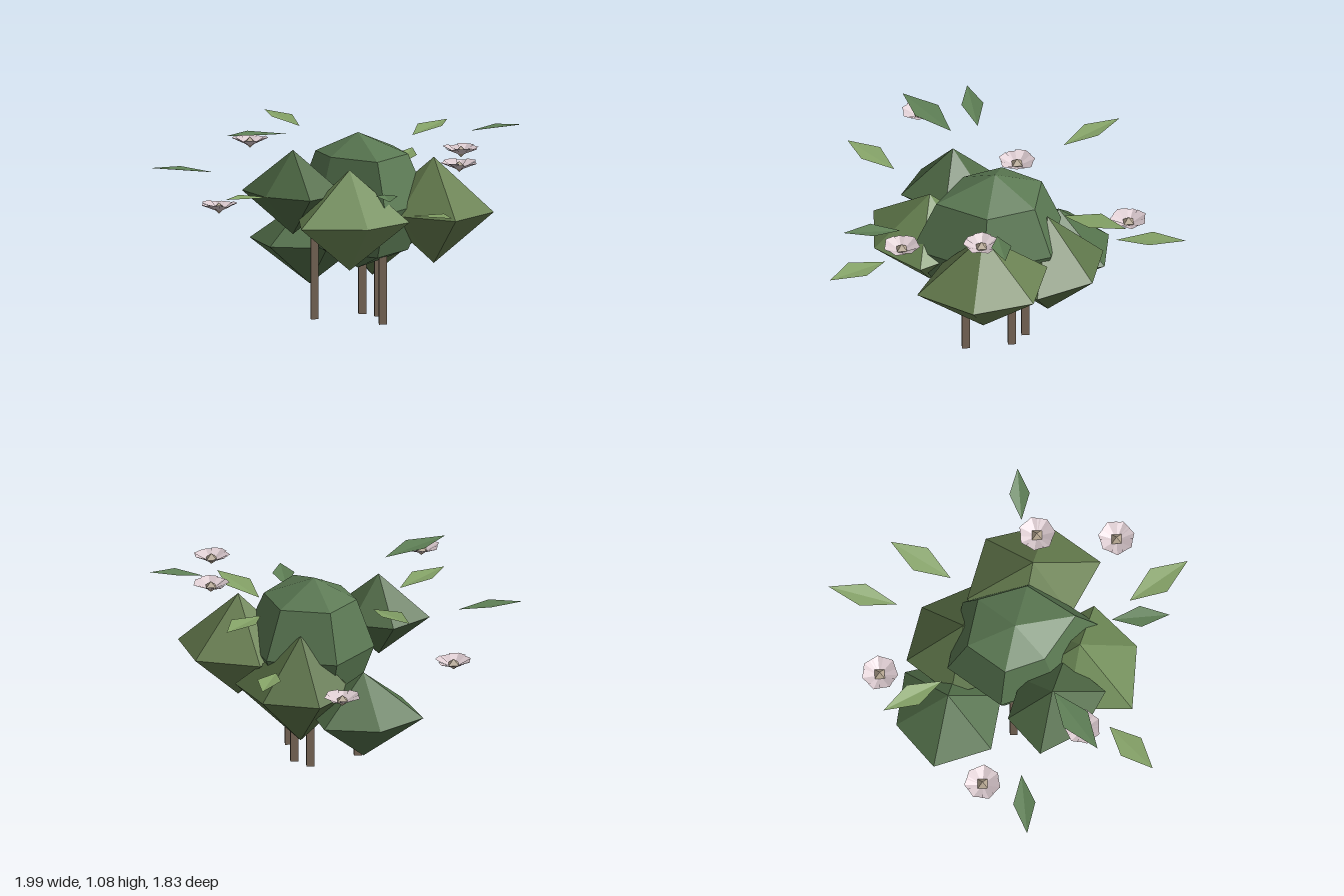
import * as THREE from 'three';

const mat = (color, thin) => new THREE.MeshStandardMaterial({
  color, flatShading: true, side: thin ? THREE.DoubleSide : THREE.FrontSide,
});

// Six-sided faceted clump; radii are given every 60 degrees from +x towards +z
function clump(name, [x, y, z], height, radii, color, rows = 2) {
  const geo = new THREE.SphereGeometry(1, 6, rows);
  const p = geo.attributes.position;
  for (let i = 0; i < p.count; i++) {
    const step = Math.round(Math.atan2(p.getZ(i), p.getX(i)) / (Math.PI / 3));
    const r = radii[(step + 6) % 6];
    p.setXYZ(i, p.getX(i) * r, p.getY(i) * height, p.getZ(i) * r);
  }
  geo.computeVertexNormals();
  const mesh = new THREE.Mesh(geo, mat(color));
  mesh.name = name;
  mesh.position.set(x, y, z);
  return mesh;
}

// Thin four-cornered blade made of two triangles that meet at a midrib
function blade(base, tip, width, lift, widest, material) {
  const a = new THREE.Vector3(...base), b = new THREE.Vector3(...tip);
  const side = new THREE.Vector3(b.z - a.z, 0, a.x - b.x).normalize().multiplyScalar(width / 2);
  const mid = a.clone().lerp(b, widest);
  mid.y += lift;
  const l = mid.clone().add(side), r = mid.clone().sub(side);
  const geo = new THREE.BufferGeometry().setFromPoints([a, l, b, a, b, r]);
  // keep the upper side as the front
  geo.setIndex([0, 2, 1, 3, 5, 4]);
  geo.computeVertexNormals();
  if (geo.attributes.normal.getY(0) < 0) {
    geo.setIndex([0, 1, 2, 3, 4, 5]);
    geo.computeVertexNormals();
  }
  return new THREE.Mesh(geo, material);
}

// Shallow cup of overlapping petals around a small faceted heart
function flower(x, y, z, turn) {
  const g = new THREE.Group();
  g.name = 'flower';
  const petalMat = mat(0xdccbd0, true);
  for (let i = 0; i < 7; i++) {
    const a = turn + i * Math.PI * 2 / 7;
    const tip = [Math.cos(a) * 0.1, 0.012 + (i % 2) * 0.008, Math.sin(a) * 0.1];
    const petal = blade([0, -0.028, 0], tip, 0.095, 0.014, 0.75, petalMat);
    petal.name = 'petal';
    g.add(petal);
  }
  const heart = new THREE.Mesh(new THREE.OctahedronGeometry(0.038), mat(0xb3a48f));
  heart.name = 'flowerHeart';
  heart.position.y = -0.008;
  heart.scale.y = 0.8;
  g.add(heart);
  g.position.set(x, y, z);
  return g;
}

export function createModel() {
  const model = new THREE.Group();
  model.name = 'floweringBush';

  // Foliage
  model.add(
    clump('centralFoliage', [0.04, 0.65, -0.08], 0.37, [0.39, 0.39, 0.48, 0.31, 0.33, 0.38], 0x5a7852, 4),
    clump('frontLeftFoliage', [0.25, 0.61, 0.28], 0.29, [0.35, 0.33, 0.38, 0.28, 0.33, 0.37], 0x687f50),
    clump('frontRightFoliage', [-0.25, 0.6, 0.12], 0.275, [0.26, 0.33, 0.32, 0.39, 0.28, 0.3], 0x708c58),
    clump('backLeftFoliage', [0.3, 0.49, -0.21], 0.3, [0.31, 0.36, 0.33, 0.3, 0.29, 0.32], 0x5c7348),
    clump('backFoliage', [0.13, 0.37, -0.51], 0.24, [0.32, 0.3, 0.3, 0.32, 0.33, 0.29], 0x53704a),
    clump('backRightFoliage', [-0.35, 0.73, -0.2], 0.23, [0.23, 0.28, 0.3, 0.22, 0.28, 0.25], 0x506b46),
  );

  // Square stems
  for (const [x, z, h] of [[0.007, 0.13, 0.6], [-0.115, -0.255, 0.65], [0.175, -0.055, 0.6], [0.175, -0.17, 0.55]]) {
    const stem = new THREE.Mesh(new THREE.CylinderGeometry(0.03, 0.03, h, 4), mat(0x83705f));
    stem.name = 'stem';
    stem.position.set(x, h / 2, z);
    model.add(stem);
  }

  // Loose leaves: base, tip, width, colour
  const light = 0x86a468, deep = 0x5f8056;
  const leaves = [
    [[-0.38, 1.05, -0.22], [-0.78, 1.08, -0.3], 0.16, deep],
    [[-0.52, 0.81, -0.62], [-0.78, 0.84, -0.85], 0.12, deep],
    [[0.115, 0.985, -0.57], [0.22, 1.02, -0.92], 0.13, light],
    [[0.66, 0.72, -0.35], [0.99, 0.755, -0.54], 0.13, light],
    [[0.5, 0.94, -0.1], [0.87, 0.97, -0.18], 0.15, light],
    [[-0.66, 0.755, -0.08], [-1, 0.785, -0.1], 0.15, light],
    [[-0.25, 0.77, 0.37], [-0.46, 0.785, 0.6], 0.12, deep],
    [[0.43, 1.03, 0.38], [0.64, 1.06, 0.57], 0.11, deep],
    [[-0.22, 0.67, 0.54], [-0.3, 0.71, 0.91], 0.16, light],
  ];
  for (const [base, tip, width, color] of leaves) {
    const leaf = blade(base, tip, width, 0.012, 0.5, mat(color, true));
    leaf.name = 'leaf';
    model.add(leaf);
  }

  // Flowers
  [[-0.345, 0.585, -0.74], [0.485, 0.6, -0.67], [0.335, 0.94, 0.4], [0.01, 0.935, 0.68], [-0.63, 1.04, -0.26]]
    .forEach(([x, y, z], i) => model.add(flower(x, y, z, i * 0.7)));

  return model;
}
